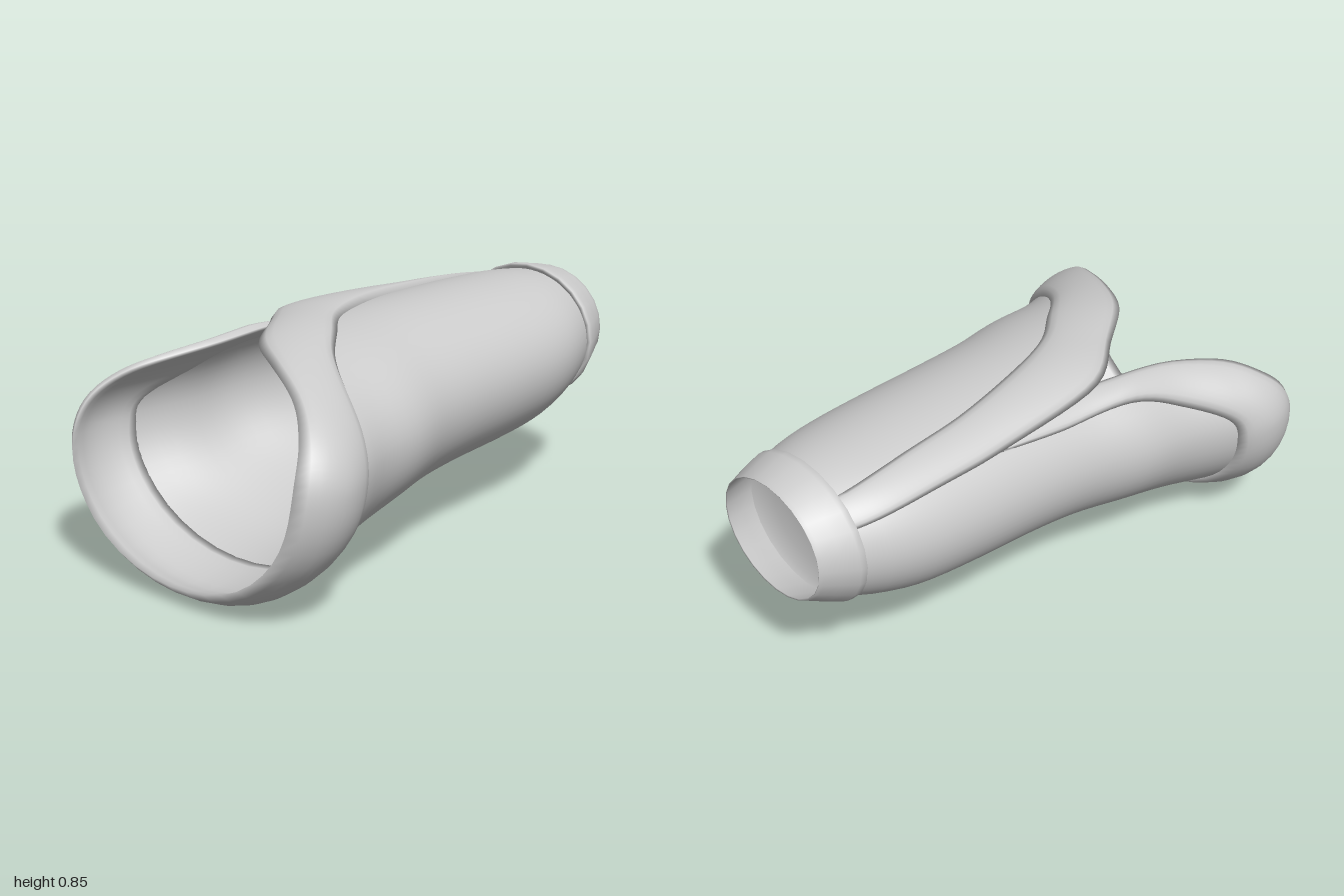
import * as THREE from 'three';

const PI = Math.PI;
const material = new THREE.MeshStandardMaterial({ color: 0xcccccc, side: THREE.DoubleSide });

// Sleeve cross-sections along x: [x, bottom y, top y, half width in z, widest height y]
const SECTIONS = [
  [-1, 0.068, 0.79, 0.5, 0.45], [-0.9, 0.034, 0.795, 0.55, 0.465], [-0.8, 0.046, 0.795, 0.562, 0.47],
  [-0.68, 0.078, 0.797, 0.535, 0.475], [-0.5, 0.11, 0.812, 0.475, 0.485], [-0.3, 0.16, 0.823, 0.455, 0.5],
  [-0.1, 0.188, 0.828, 0.41, 0.515], [0.1, 0.208, 0.832, 0.39, 0.525], [0.4, 0.227, 0.832, 0.377, 0.535],
  [0.6, 0.248, 0.828, 0.362, 0.545], [0.75, 0.288, 0.822, 0.33, 0.56], [0.9, 0.345, 0.805, 0.27, 0.575],
];

// Where the sleeve cloth begins at each angle, hidden beneath the collar: [angle, x]
const CLOTH_EDGE = [
  [-2.5, -0.25], [-2.4, -0.4], [-2.3, -0.5], [-2.1, -0.65], [-1.7, -0.76], [0, -0.74],
  [1.7, -0.74], [2.05, -0.72], [2.5, -0.65], [2.85, -0.53], [PI, -0.4],
  [PI + 0.3, -0.1], [PI + 0.5, 0.2], [PI + 0.62, 0.6], [PI + 0.64, 0.8],
];

// Collar rows: [free edge x, angle, seam x, angle, lift of the free edge]
const COLLAR = [
  [0.2, -2.5, 0.3, -2.28, 0], [-0.2, -2.52, 0, -2.2, 0], [-0.4, -2.5, -0.3, -2.23, 0],
  [-0.7, -2.39, -0.5, -2.0, 0], [-0.86, -2.1, -0.65, -1.75, 0], [-0.97, -1.7, -0.68, -1.45, 0],
  [-1, -1, -0.69, -1, 0], [-1, 0, -0.69, 0, 0], [-1, 1, -0.68, 1, 0],
  [-0.97, 1.75, -0.66, 1.5, 0], [-0.9, 2.13, -0.62, 1.95, 0], [-0.8, 2.48, -0.56, 2.35, 0],
  [-0.7, 2.85, -0.47, 2.65, 0], [-0.6, PI, -0.34, 2.9, 0], [-0.4, PI + 0.33, -0.2, PI, 0.008],
  [-0.15, PI + 0.71, 0, PI + 0.18, 0.04], [0.3, PI + 0.87, 0.3, PI + 0.36, 0.018],
  [0.6, PI + 0.92, 0.6, PI + 0.45, 0.008], [0.86, PI + 1.04, 0.86, PI + 0.58, 0.005],
];

// Smooth (Hermite) lookup of column c at key k in a table sorted by its first column
function lookup(table, k, c) {
  const last = table.length - 1;
  let i = 0;
  while (i < last - 1 && k > table[i + 1][0]) i++;
  const slope = (n) => {
    const a = table[Math.max(n - 1, 0)], b = table[Math.min(n + 1, last)];
    return (b[c] - a[c]) / (b[0] - a[0]);
  };
  const [p, q] = [table[i], table[i + 1]];
  const h = q[0] - p[0];
  const t = THREE.MathUtils.clamp((k - p[0]) / h, 0, 1);
  const s = t * t * (3 - 2 * t);
  return p[c] * (1 - s) + q[c] * s
    + h * t * (1 - t) * ((1 - t) * slope(i) - t * slope(i + 1));
}

// Point on the sleeve; angle 0 is the bottom and grows towards +z
function sleevePoint(x, angle, offset = 0) {
  const mid = lookup(SECTIONS, x, 4), up = -Math.cos(angle);
  const ry = Math.abs(lookup(SECTIONS, x, up > 0 ? 2 : 1) - mid) + offset;
  const rz = lookup(SECTIONS, x, 3) + offset;
  return [x, mid + ry * up, rz * Math.sin(angle)];
}

// Grid surface; faces look along (i direction) x (j direction)
function surface(name, ni, nj, point, wrapI = false, wrapJ = false) {
  const positions = [], index = [];
  for (let j = 0; j < nj; j++) for (let i = 0; i < ni; i++) positions.push(...point(i, j));
  for (let j = 0; j < (wrapJ ? nj : nj - 1); j++) {
    for (let i = 0; i < (wrapI ? ni : ni - 1); i++) {
      const i2 = (i + 1) % ni, j2 = (j + 1) % nj;
      const a = j * ni + i, b = j * ni + i2, c = j2 * ni + i2, d = j2 * ni + i;
      index.push(a, b, c, a, c, d);
    }
  }
  const geometry = new THREE.BufferGeometry();
  geometry.setAttribute('position', new THREE.Float32BufferAttribute(positions, 3));
  geometry.setIndex(index);
  geometry.computeVertexNormals();
  const mesh = new THREE.Mesh(geometry, material);
  mesh.name = name;
  return mesh;
}

// Tapering cloth tube, cut away in a V on top
function makeSleeve() {
  const ni = 32, nj = 64;
  return surface('sleeve', ni, nj, (i, j) => {
    const angle = THREE.MathUtils.lerp(-2.5, PI + 0.64, j / (nj - 1));
    const start = Math.min(lookup(CLOTH_EDGE, angle, 1), 0.8);
    return sleevePoint(THREE.MathUtils.lerp(start, 0.87, i / (ni - 1)), angle);
  });
}

// Padded collar around the wide mouth, crossing over on top and running to the cuff
function makeCollar() {
  const freeEdge = new THREE.CatmullRomCurve3(COLLAR.map((r) => new THREE.Vector3(r[0], r[1], r[4])));
  const seamEdge = new THREE.CatmullRomCurve3(COLLAR.map((r) => new THREE.Vector3(r[2], r[3], 0)));
  const outer = 12, inner = 8, rows = 110;
  return surface('collar', outer + inner, rows, (i, j) => {
    const t = j / (rows - 1);
    const onOuter = i < outer;
    const v = onOuter ? i / (outer - 1) : 1 - (i - outer + 1) / (inner + 1);
    const p = freeEdge.getPoint(t).lerp(seamEdge.getPoint(t), v);
    // Rounded outside, nearly flat lining, thinned at both ends
    const taper = Math.min(1, t * 10, 0.35 + (1 - t) * 5);
    const round = Math.pow(4 * v * (1 - v), 0.4);
    return sleevePoint(p.x, p.y, p.z + (onOuter ? 0.032 : -0.012) * round * taper);
  }, true);
}

// Loft of ellipses along x: [x, centre y, half height, half width]
function ellipseLoft(name, profile, sides = 24) {
  return surface(name, profile.length, sides, (i, j) => {
    const [x, y, ry, rz] = profile[i], a = (j / sides) * 2 * PI;
    return [x, y - ry * Math.cos(a), rz * Math.sin(a)];
  }, false, true);
}

export function createModel() {
  const model = new THREE.Group();
  model.name = 'sleeve with wrapped collar';
  model.add(makeSleeve(), makeCollar());

  // Double-walled cuff
  model.add(ellipseLoft('cuff', [
    [0.86, 0.572, 0.235, 0.275], [0.848, 0.572, 0.25, 0.295], [0.852, 0.572, 0.259, 0.305],
    [0.875, 0.573, 0.258, 0.302], [0.93, 0.582, 0.238, 0.278], [0.985, 0.59, 0.216, 0.252],
    [1, 0.592, 0.211, 0.246], [0.998, 0.592, 0.207, 0.242], [0.93, 0.584, 0.225, 0.263],
    [0.87, 0.574, 0.238, 0.278],
  ]));

  // Shallow bowl closing the sleeve inside the cuff
  model.add(ellipseLoft('innerCap', [
    [0.875, 0.575, 0.24, 0.28], [0.86, 0.575, 0.215, 0.25], [0.845, 0.575, 0.16, 0.19],
    [0.835, 0.575, 0.09, 0.1], [0.832, 0.575, 0, 0],
  ]));

  // Tucked end of the collar, just inside the cuff
  const tuck = new THREE.Mesh(new THREE.BoxGeometry(0.06, 0.035, 0.1), material);
  tuck.name = 'tuckedCollarEnd';
  tuck.position.set(0.89, 0.735, -0.16);
  tuck.rotation.x = -0.5;
  model.add(tuck);
  return model;
}
